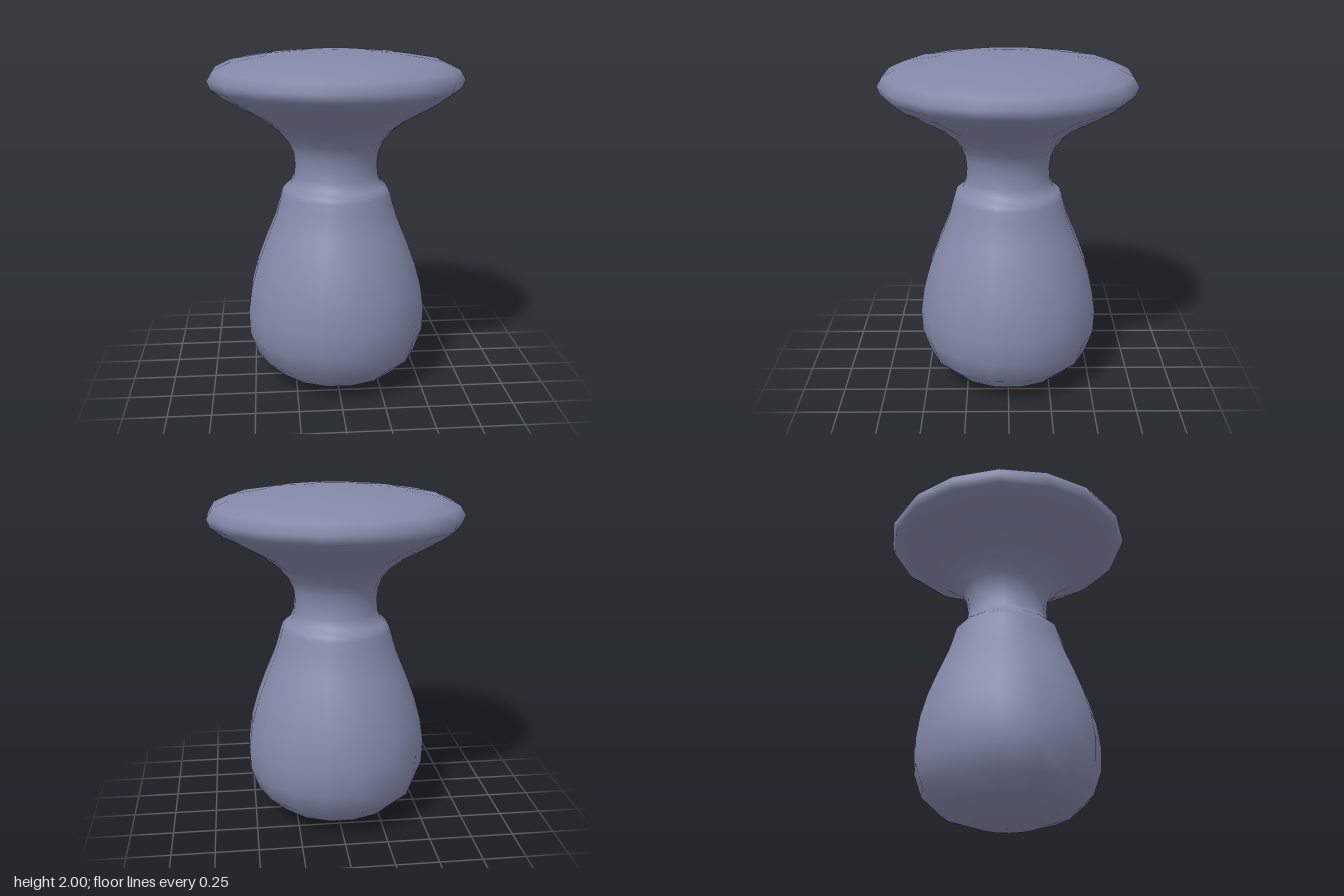
import * as THREE from 'three';

const SIDES = 16;
const PHI_START = THREE.MathUtils.degToRad(10);

export function createModel() {
  const group = new THREE.Group();
  group.name = 'knob';
  const material = new THREE.MeshStandardMaterial({ color: 0x8388a8 });

  // Half profile [radius, height], from the rounded foot to the shallow dome
  const profile = [
    // bulbous body
    [0, 0], [0.2, 0.025], [0.378, 0.085], [0.485, 0.185], [0.532, 0.32], [0.538, 0.46],
    [0.518, 0.6], [0.48, 0.74], [0.428, 0.88], [0.39, 0.97], [0.362, 1.04], [0.341, 1.11],
    // shoulder step and waist
    [0.325, 1.17], [0.315, 1.195], [0.296, 1.215], [0.268, 1.237], [0.25, 1.28],
    [0.243, 1.35], [0.251, 1.42], [0.278, 1.48], [0.337, 1.55],
    // flared head and domed top
    [0.43, 1.62], [0.54, 1.68], [0.645, 1.74], [0.719, 1.795], [0.738, 1.845],
    [0.705, 1.9], [0.612, 1.942], [0.4, 1.977], [0.2, 1.995], [0, 2],
  ].map(([r, y]) => new THREE.Vector2(r, y));

  const knob = new THREE.Mesh(
    new THREE.LatheGeometry(profile, SIDES, PHI_START, Math.PI * 2),
    material,
  );
  knob.name = 'turnedKnob';
  group.add(knob);
  return group;
}
